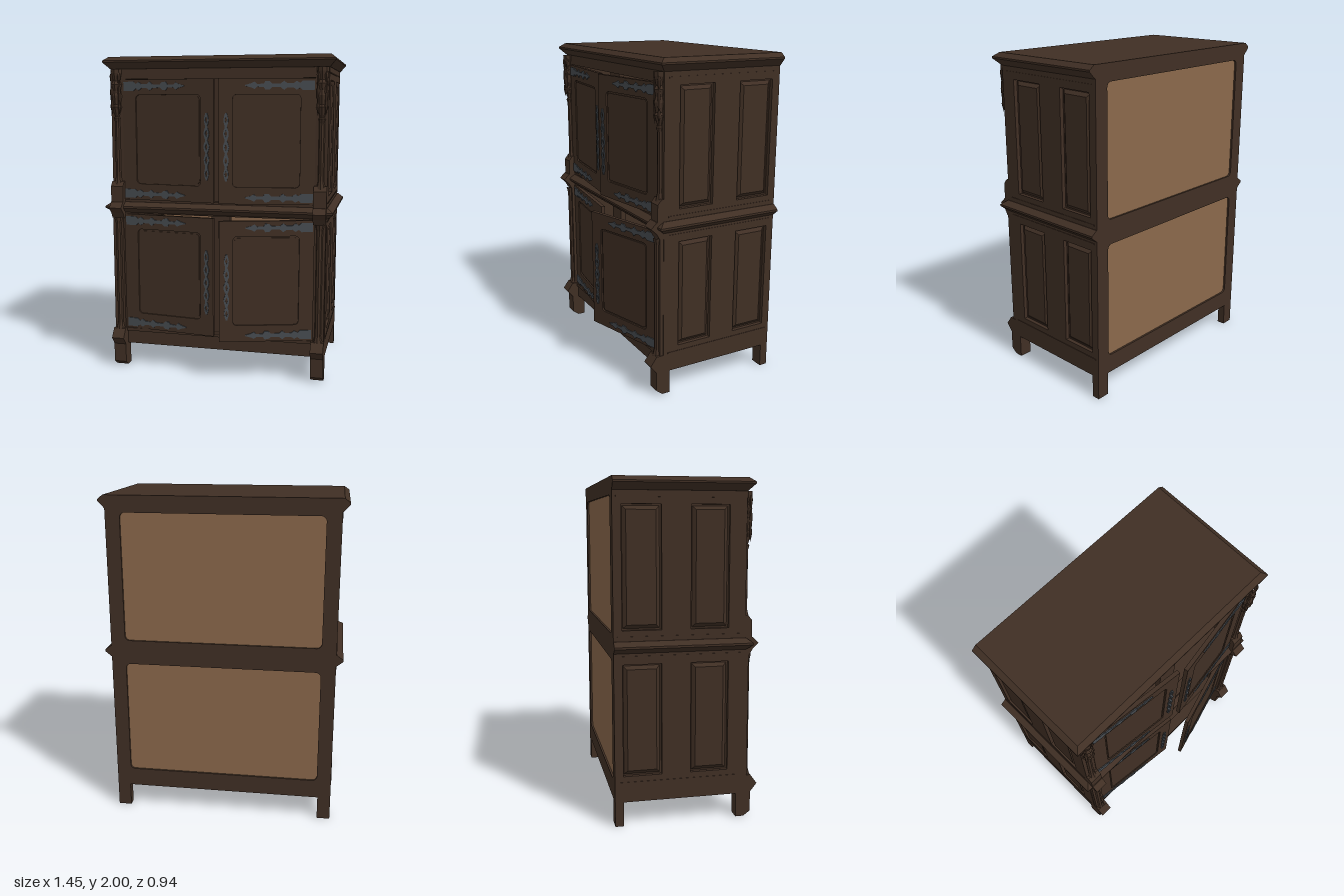
import * as THREE from 'three';
import { ConvexGeometry } from 'three/addons/geometries/ConvexGeometry.js';

export function createModel() {
  const model = new THREE.Group();
  model.name = 'cabinet';
  const mat = (name, color) => {
    const m = new THREE.MeshStandardMaterial({ color });
    m.name = name;
    return m;
  };
  const wood = mat('darkOak', 0x402f24);
  const backWood = mat('paleBackboard', 0x8a684b);
  const metal = mat('ironFittings', 0x464b50);

  const add = (name, geo, material = wood, parent = model) => {
    const mesh = new THREE.Mesh(geo, material);
    mesh.name = name;
    parent.add(mesh);
    return mesh;
  };
  // Box given by its extents
  const box = (name, x0, x1, y0, y1, z0, z1, material = wood, parent = model) => {
    const g = new THREE.BoxGeometry(Math.abs(x1 - x0), y1 - y0, z1 - z0);
    g.translate((x0 + x1) / 2, (y0 + y1) / 2, (z0 + z1) / 2);
    return add(name, g, material, parent);
  };
  const poly = pts => new THREE.Shape(pts.map(p => new THREE.Vector2(p[0], p[1])));
  const rect = (x0, x1, y0, y1) => poly([[x0, y0], [x1, y0], [x1, y1], [x0, y1]]);
  const roundRect = (x0, x1, y0, y1, r) => {
    const s = new THREE.Shape(), q = Math.PI / 2;
    s.absarc(x1 - r, y0 + r, r, -q, 0);
    s.absarc(x1 - r, y1 - r, r, 0, q);
    s.absarc(x0 + r, y1 - r, r, q, 2 * q);
    s.absarc(x0 + r, y0 + r, r, 2 * q, 3 * q);
    s.closePath();
    return s;
  };
  const extrude = (shape, depth, z = 0) =>
    new THREE.ExtrudeGeometry(shape, { depth, bevelEnabled: false, curveSegments: 5 }).translate(0, 0, z);
  // Extrude a (z, y) profile across x, from x0 to x1
  const acrossX = (shape, x0, x1) => extrude(shape, x1 - x0).rotateY(-Math.PI / 2).translate(x1, 0, 0);
  const mirrored = (s, a, b) => (s > 0 ? [a, b] : [-b, -a]);
  // Faceted turned piece
  const turned = (pts, sides = 8) => {
    const g = new THREE.LatheGeometry(pts.map(p => new THREE.Vector2(p[0], p[1])), sides).toNonIndexed();
    g.computeVertexNormals();
    return g;
  };
  // Raised field with sloped margins, facing +z
  const raisedField = (x0, x1, y0, y1, z0, z1, slope) => {
    const pts = [];
    for (const [z, d] of [[z0, 0], [z1, slope]])
      for (const x of [x0 + d, x1 - d]) for (const y of [y0 + d, y1 - d]) pts.push(new THREE.Vector3(x, y, z));
    return new ConvexGeometry(pts);
  };

  const BACK = -0.472, FRONT = 0.3, W = 0.685;

  // Cornices: profile of [height, overhang], flush at the back
  const cornice = (name, profile) => {
    const pts = [];
    for (const [y, o] of profile)
      for (const x of [-W - o, W + o]) for (const z of [BACK, FRONT + o]) pts.push(new THREE.Vector3(x, y, z));
    add(name, new ConvexGeometry(pts));
  };
  cornice('topCornice', [[1.925, 0.002], [1.945, 0.02], [1.965, 0.04], [1.975, 0.04], [2, 0.008]]);
  cornice('waistMoulding', [[1.02, 0.003], [1.05, 0.04], [1.062, 0.04], [1.088, 0.003]]);

  // Side walls: framing with four openings and a raised field in each
  const bays = [[-0.025, 0.2], [-0.425, -0.195]];
  const tiers = [[0.3, 0.955], [1.15, 1.85]];
  for (const s of [1, -1]) {
    const frame = rect(BACK, FRONT, 0.145, 1.93);
    for (const [z0, z1] of bays) for (const [y0, y1] of tiers) {
      frame.holes.push(rect(z0, z1, y0, y1));
      const g = raisedField(-z1 + 0.008, -z0 - 0.008, y0 + 0.008, y1 - 0.008, 0.66, 0.678, 0.022);
      add('sidePanel', g.rotateY(s * Math.PI / 2).translate(0, 0, s > 0 ? 0 : z0 + z1));
    }
    add('sideFrame', acrossX(frame, ...mirrored(s, 0.66, W)));
    box('sideBoard', s * 0.645, s * 0.661, 0.2, 1.93, BACK + 0.02, FRONT - 0.01);
    for (const y of [0.262, 1.0, 1.112, 1.892])
      box('sideBead', s * W, s * (W + 0.003), y - 0.004, y + 0.004, BACK + 0.02, FRONT - 0.03);
  }

  // Corner posts and feet
  for (const s of [1, -1]) {
    const [a, b] = mirrored(s, 0.605, W), x = s * 0.646;
    box('frontStile', a, b, 0.145, 1.93, 0.23, FRONT);
    box('rearStile', a, b, 0, 1.93, BACK, -0.422);
    add('frontFoot', acrossX(poly([[0.255, 0], [0.305, 0], [0.345, 0.03], [0.345, 0.15],
      [0.385, 0.2], [0.345, 0.255], [0.255, 0.255]]), a, b));
    add('waistBlock', acrossX(poly([[0.28, 0.985], [0.325, 0.985], [0.345, 1.02], [0.382, 1.055],
      [0.345, 1.09], [0.28, 1.09]]), a, b));
    box('lowerPost', s * 0.612, s * 0.682, 0.25, 1, 0.29, 0.322);
    add('lowerColonnette', turned([[0.03, 0.25], [0.02, 0.29], [0.02, 0.95], [0.03, 0.99]]).translate(x, 0, 0.32));
    add('upperPostBase', acrossX(poly([[0.28, 1.088], [0.34, 1.088], [0.34, 1.19], [0.315, 1.22], [0.28, 1.22]]), a, b));
    add('upperColonnette', turned([[0.03, 1.2], [0.018, 1.25], [0.018, 1.6]]).translate(x, 0, 0.303));
    // Carved hanging canopy at the head of the post
    add('carvedCanopy', turned([[0, 1.54], [0.022, 1.62], [0.014, 1.63], [0.034, 1.69], [0.026, 1.705], [0.036, 1.76],
      [0.026, 1.79], [0.036, 1.83], [0.024, 1.85], [0.036, 1.9], [0.036, 1.925]]).translate(x, 0, 0.306));
    for (const d of [-0.024, 0.024])
      add('canopyPendant', turned([[0, 1.64], [0.011, 1.69], [0.007, 1.72], [0.012, 1.78], [0.006, 1.83],
        [0.012, 1.88], [0, 1.92]], 6).translate(x + d, 0, 0.325));
  }

  // Front rails, centre stiles and boards
  box('topRail', -0.605, 0.605, 1.862, 1.93, 0.24, FRONT);
  box('waistRail', -0.605, 0.605, 1.012, 1.103, 0.24, FRONT);
  box('bottomRail', -0.605, 0.605, 0.147, 0.253, 0.24, FRONT);
  box('bottomRailBead', -0.605, 0.605, 0.232, 0.253, FRONT, 0.312);
  box('upperCentreStile', -0.04, 0.08, 1.1, 1.87, 0.24, 0.272);
  box('lowerCentreStile', -0.04, 0.08, 0.25, 1.015, 0.24, 0.272);
  box('floorBoard', -0.65, 0.65, 0.215, 0.24, BACK + 0.02, 0.25);
  box('middleBoard', -0.65, 0.65, 1.04, 1.07, BACK + 0.02, 0.25);

  // Back frame with two pale boards
  const backFrame = rect(-0.606, 0.606, 0.145, 1.93);
  for (const [y0, y1] of [[0.26, 0.975], [1.125, 1.9]]) {
    backFrame.holes.push(roundRect(-0.597, 0.597, y0, y1, 0.03));
    box('backBoard', -0.61, 0.61, y0 - 0.01, y1 + 0.01, BACK + 0.012, BACK + 0.02, backWood);
  }
  add('backFrame', extrude(backFrame, 0.03, BACK));

  // Strap hinge outline, symmetric about its length
  const strapHalf = [[0, 0.028], [0.07, 0.028], [0.085, 0.014], [0.105, 0.026], [0.125, 0.012], [0.16, 0.012],
    [0.18, 0.027], [0.2, 0.011], [0.25, 0.01], [0.265, 0.024], [0.29, 0.026], [0.3, 0.01], [0.34, 0.008],
    [0.355, 0.022], [0.375, 0.012], [0.41, 0.003]];
  const strap = dir => poly([...strapHalf, ...strapHalf.map(p => [p[0], -p[1]]).reverse()].map(p => [dir * p[0], p[1]]));
  // Pierced lock plate with a scalloped edge
  const lockPlate = h => {
    const n = 32, half = [];
    for (let i = 0; i <= n; i++) {
      const t = i / n;
      half.push([0.005 + 0.013 * Math.abs(Math.sin(t * Math.PI * 5)) * (0.6 + 0.4 * Math.sin(t * Math.PI)), t * h]);
    }
    const s = poly([...half, ...half.map(p => [-p[0], p[1]]).reverse()]);
    for (let i = 0; i < 5; i++) {
      const y = h * (i + 0.5) / 5;
      s.holes.push(poly([[0, y - 0.02], [0.008, y], [0, y + 0.02], [-0.008, y]]));
    }
    return s;
  };

  // Doors, hung at the outer edge and standing ajar; dir points toward the free edge
  const T = 0.024, H = 0.755;
  const door = (name, dir, y, w, angle) => {
    const g = new THREE.Group();
    g.name = name;
    const span = (a, b) => mirrored(dir, a, b);
    const leaf = rect(...span(0, w), 0, H);
    leaf.holes.push(roundRect(...span(0.09, w - 0.085), 0.103, 0.66, 0.025));
    add('doorFrame', extrude(leaf, T), wood, g);
    box('doorPanel', ...span(0.08, w - 0.075), 0.09, 0.67, 0.004, 0.014, wood, g);
    add('doorField', extrude(roundRect(...span(0.1, w - 0.095), 0.113, 0.65, 0.02), 0.007, 0.013), wood, g);
    for (const hy of [0.04, H - 0.042])
      add('strapHinge', extrude(strap(dir), 0.006, T).translate(dir * 0.01, hy, 0), metal, g);
    add('lockPlate', extrude(lockPlate(0.41), 0.006, T).translate(dir * (w - 0.045), 0.14, 0), metal, g);
    g.position.set(-dir * 0.605, y, 0.28);
    g.rotation.y = -dir * angle;
    model.add(g);
  };
  door('upperRightDoor', 1, 1.105, 0.61, 0.11);
  door('upperLeftDoor', -1, 1.105, 0.58, 0.157);
  door('lowerRightDoor', 1, 0.255, 0.605, 0.11);
  door('lowerLeftDoor', -1, 0.255, 0.58, 0.285);

  return model;
}
